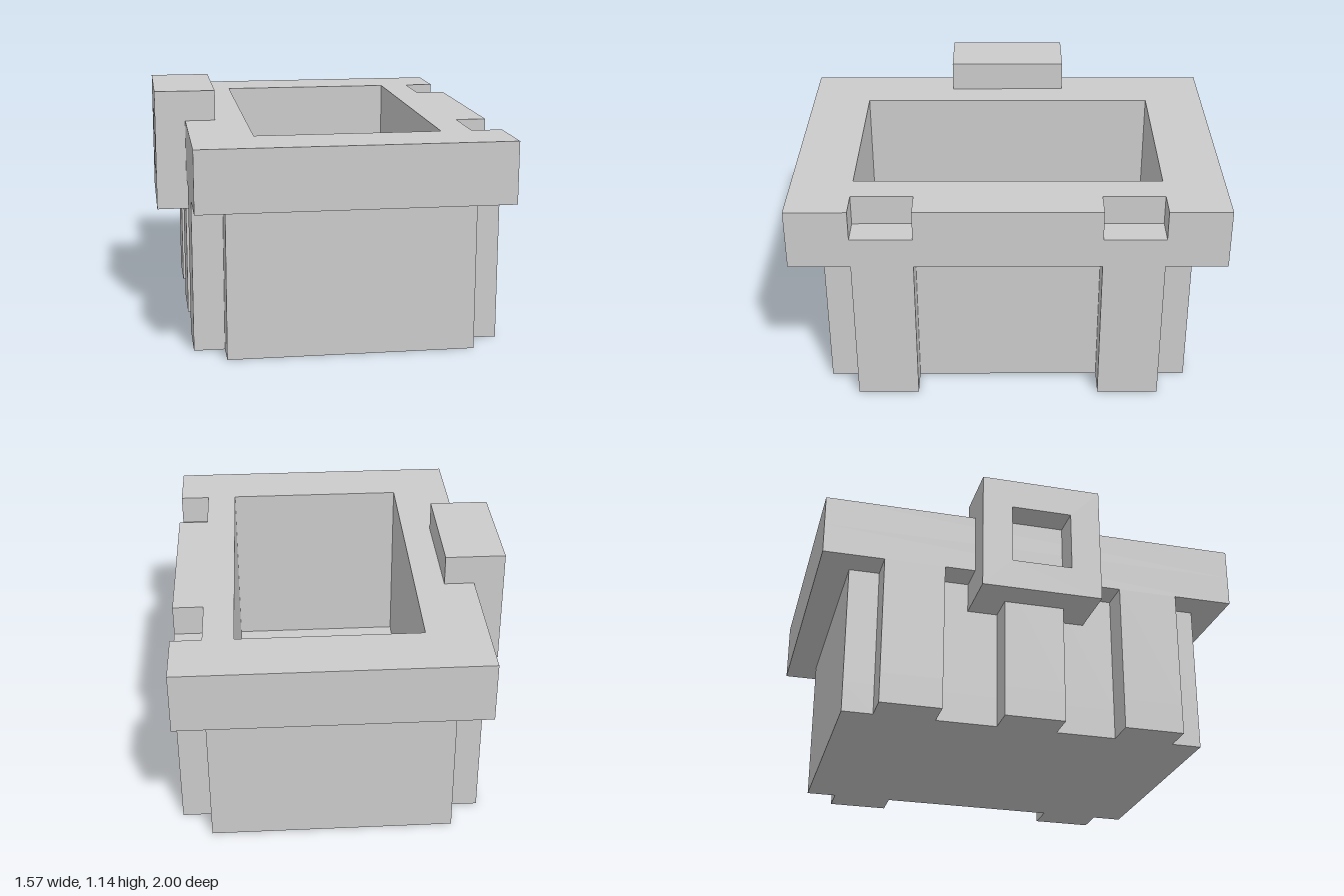
import * as THREE from 'three';

// Everything sits on a grid of 1/7 unit; x is counted from the outer face of the handle.
const U = 1 / 7;
const X0 = -5.5;

export function createModel() {
  const group = new THREE.Group();
  const material = new THREE.MeshStandardMaterial({ color: 0xcccccc, flatShading: true });

  function add(name, geometry) {
    geometry.scale(U, U, U);
    const mesh = new THREE.Mesh(geometry, material);
    mesh.name = name;
    group.add(mesh);
  }

  // Outline given for z >= 0 and mirrored to z < 0
  function mirrored(half) {
    const other = half.map(([x, z]) => [x, -z]).reverse();
    return [...half, ...other].map(([x, z]) => new THREE.Vector2(x + X0, z));
  }

  // Horizontal layer between two heights, with an optional opening
  function layer(name, half, y0, y1, hole) {
    const shape = new THREE.Shape(mirrored(half));
    if (hole) shape.holes.push(new THREE.Path(mirrored(hole)));
    const geometry = new THREE.ExtrudeGeometry(shape, { depth: y1 - y0, bevelEnabled: false });
    geometry.rotateX(-Math.PI / 2).translate(0, y0, 0);
    add(name, geometry);
  }

  function box(name, [xa, xb], [ya, yb], [za, zb]) {
    const geometry = new THREE.BoxGeometry(xb - xa, yb - ya, zb - za);
    geometry.translate((xa + xb) / 2 + X0, (ya + yb) / 2, (za + zb) / 2);
    add(name, geometry);
  }

  const cavity = [[9, 5], [3, 5]];

  // Tub with two ribs on the right side and three on the handle side
  const tub = [
    [10, 3], [11, 3], [11, 5], [10, 5], [10, 6], [2, 6],
    [2, 5], [1, 5], [1, 3], [2, 3], [2, 1], [1, 1],
  ];
  layer('floor', tub, 0, 1);
  layer('walls', tub, 1, 5, cavity);

  // Overhanging rim, the upper half notched twice on the right side
  layer('rimLower', [[11, 7], [1, 7]], 5, 6, cavity);
  layer('rimUpper', [[11, 3], [10, 3], [10, 5], [11, 5], [11, 7], [1, 7]], 6, 7, cavity);

  // Handle plate with a square window
  const rect = (w, y0, y1) => [[-w, y0], [w, y0], [w, y1], [-w, y1]].map(([a, b]) => new THREE.Vector2(a, b));
  const plate = new THREE.Shape(rect(2, 4, 8));
  plate.holes.push(new THREE.Path(rect(1, 5, 7)));
  const plateGeometry = new THREE.ExtrudeGeometry(plate, { depth: 1, bevelEnabled: false });
  plateGeometry.rotateY(Math.PI / 2).translate(X0, 0, 0);
  add('handlePlate', plateGeometry);

  // Arms gripping the rim from above and below
  box('handleTopArm', [1, 2], [7, 8], [-2, 2]);
  box('handleBottomArm', [1, 2], [4, 5], [-2, 2]);

  return group;
}
